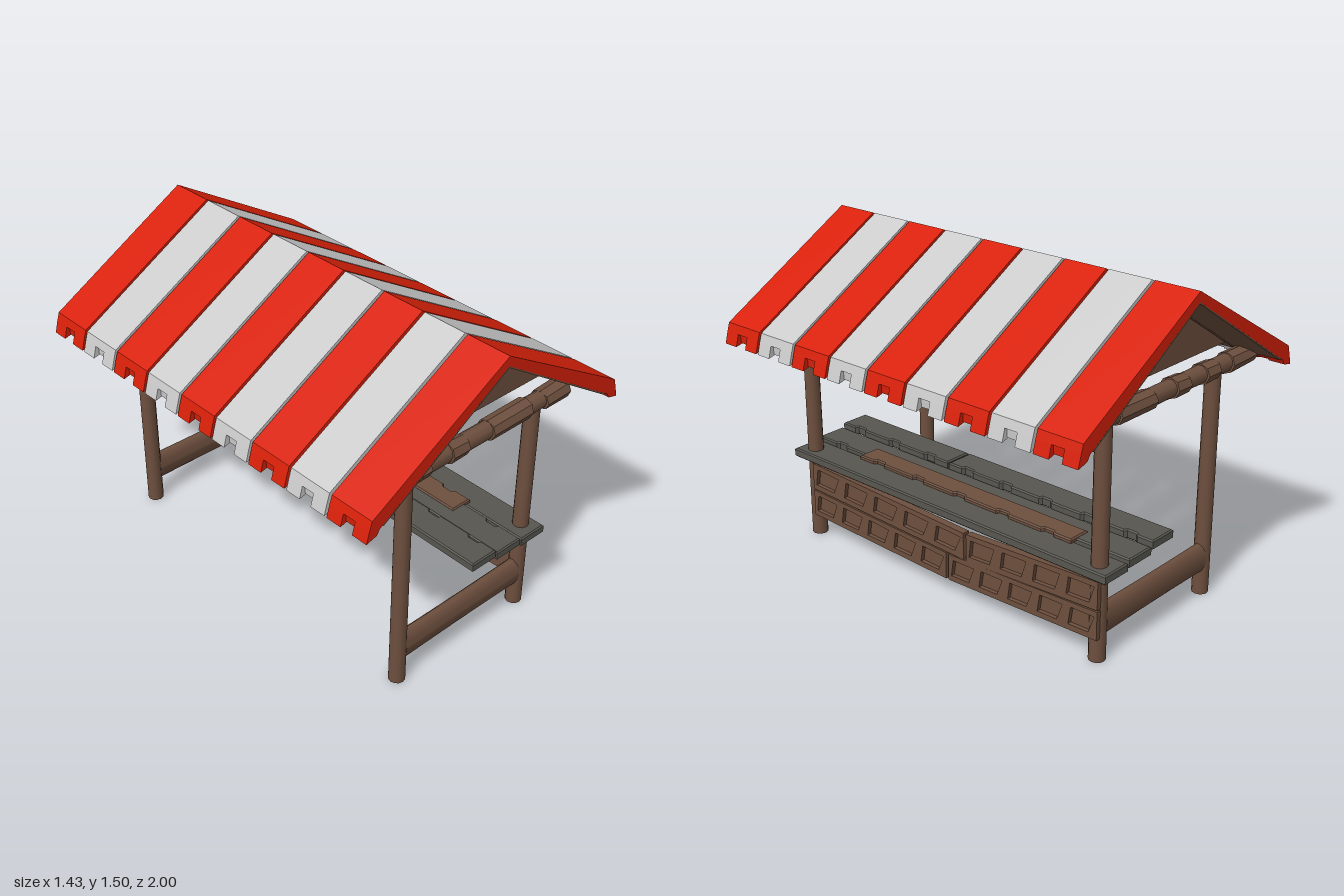
import * as THREE from 'three';

const mat = (name, color) => {
  const m = new THREE.MeshStandardMaterial({ color });
  m.name = name;
  return m;
};

export function createModel() {
  const wood = mat('brown wood', 0x6d4f3e);
  const greyWood = mat('grey wood', 0x575650);
  const red = mat('red cloth', 0xd82009);
  const white = mat('white cloth', 0xcbcbcb);

  const model = new THREE.Group();
  model.name = 'marketStall';

  let seed = 7;
  const rand = () => ((seed = (seed * 16807) % 2147483647) / 2147483647) - 0.5;

  const add = (name, geo, material, x = 0, y = 0, z = 0, parent = model) => {
    const mesh = new THREE.Mesh(geo, material);
    mesh.name = name;
    mesh.position.set(x, y, z);
    parent.add(mesh);
    return mesh;
  };
  const toShape = (pts) => new THREE.Shape(pts.map(([x, y]) => new THREE.Vector2(x, y)));
  const extrude = (shape, depth, bevel = 0) => new THREE.ExtrudeGeometry(shape, {
    depth, bevelEnabled: bevel > 0, bevelSize: bevel, bevelThickness: bevel, bevelOffset: -bevel, bevelSegments: 1,
  });

  // Four round posts
  const postGeo = new THREE.CylinderGeometry(0.035, 0.037, 1.03, 12);
  for (const x of [-0.367, 0.367]) for (const z of [-0.842, 0.842]) add('post', postGeo, wood, x, 0.515, z);

  // Low crossbeam at each end, slightly waisted
  const crossGeo = new THREE.CylinderGeometry(0.073, 0.073, 0.7, 14, 6);
  crossGeo.rotateZ(Math.PI / 2);
  const cp = crossGeo.attributes.position;
  for (let i = 0; i < cp.count; i++) {
    const waist = 0.96 + 0.04 * Math.pow(cp.getX(i) / 0.35, 2);
    cp.setXYZ(i, cp.getX(i), cp.getY(i) * waist, cp.getZ(i) * 0.48 * waist);
  }
  crossGeo.computeVertexNormals();
  for (const z of [-0.842, 0.842]) add('lowCrossbeam', crossGeo, wood, 0, 0.175, z);

  // Rough-hewn beam under each gable: a round core wrapped by uneven blocks
  const coreGeo = new THREE.CylinderGeometry(0.041, 0.038, 1.16, 10).rotateZ(Math.PI / 2);
  for (const z of [-0.842, 0.842]) {
    const beam = new THREE.Group();
    beam.name = 'gableBeam';
    model.add(beam);
    add('beamCore', coreGeo, wood, -0.03, 1.05, z, beam);
    const blocks = [[-0.54, 0.18], [-0.31, 0.09], [-0.1, 0.09], [0.2, 0.23], [0.48, 0.14]];
    for (const [x, w] of blocks) {
      const geo = new THREE.CylinderGeometry(0.044, 0.044, w, 8).rotateZ(Math.PI / 2).toNonIndexed();
      const p = geo.attributes.position;
      // Skew and taper the ends so they look hand-cut
      const skew = rand() * 0.35, taper = rand() * 0.15;
      for (let i = 0; i < p.count; i++) {
        const px = p.getX(i), py = p.getY(i);
        p.setXYZ(i, px + py * skew, py * (1 + taper * Math.sign(px)), p.getZ(i) * 1.15);
      }
      geo.computeVertexNormals();
      add('beamBlock', geo, wood, x, 1.05, z, beam).rotation.z = rand() * 0.08;
    }
  }

  // Gable walls set back behind the beams
  const gableGeo = extrude(toShape([[-0.56, 1.095], [0.56, 1.095], [0, 1.455]]), 0.02);
  for (const z of [-0.77, 0.75]) add('gableWall', gableGeo, wood, 0, 0, z);

  // Carved front boards between the posts on the left side: frame with recesses and a backing
  // Each row: z, bottom, top at both ends, then the number of recesses
  const boards = [
    [0.82, 0.245, 0.375, -0.145, 0.215, 0.342, 5],
    [-0.16, 0.213, 0.342, -0.87, 0.25, 0.378, 4],
    [0.82, 0.11, 0.238, -0.04, 0.085, 0.212, 5],
    [-0.055, 0.085, 0.21, -0.87, 0.112, 0.243, 5],
  ];
  for (const [z0, b0, t0, z1, b1, t1, count] of boards) {
    const at = (s, h) => {
      const b = b0 + (b1 - b0) * s, t = t0 + (t1 - t0) * s;
      return [-(z0 + (z1 - z0) * s), b + (t - b) * h];
    };
    const outline = [at(0, 0), at(1, 0), at(1, 1), at(0, 1)];
    const frame = toShape(outline);
    for (let i = 0; i < count; i++) {
      const a = (i + 0.1) / count, b = (i + 0.86) / count;
      const hole = [at(a, 0.2), at(a + 0.015, 0.82), at(b + 0.01, 0.8), at(b - 0.025, 0.2)];
      frame.holes.push(new THREE.Path(hole.map(([x, y]) => new THREE.Vector2(x, y))));
    }
    add('boardFrame', extrude(frame, 0.02).rotateY(Math.PI / 2), wood, 0.391);
    add('boardBacking', extrude(toShape(outline), 0.016).rotateY(Math.PI / 2), wood, 0.376);
  }

  // Counter planks with chipped edges
  const plank = (name, material, x0, x1, y, h, z0, z1, chips) => {
    const w = (x1 - x0) / 2, l = (z1 - z0) / 2;
    const pts = [[-w, -l], [w, -l]];
    for (let i = 0; i < chips; i++) {
      const c = -l + ((i + 0.5) / chips) * 2 * l;
      pts.push([w, c - 0.035], [w - 0.015, c - 0.025], [w - 0.015, c + 0.02], [w, c + 0.035]);
    }
    pts.push([w, l], [-w, l]);
    const geo = extrude(toShape(pts), h - 0.012, 0.006).rotateX(-Math.PI / 2);
    add(name, geo, material, (x0 + x1) / 2, y + 0.006, (z0 + z1) / 2);
  };
  plank('innerCounterPlank', greyWood, -0.02, 0.12, 0.42, 0.043, -0.92, 0.216, 5);
  plank('innerCounterPlank', greyWood, -0.02, 0.12, 0.42, 0.043, 0.226, 0.92, 3);
  plank('middleCounterPlank', greyWood, 0.13, 0.275, 0.4, 0.042, -0.92, 0.92, 6);
  plank('brownCounterPlank', wood, 0.2, 0.31, 0.425, 0.024, -0.65, 0.6, 5);
  plank('outerCounterPlank', greyWood, 0.285, 0.43, 0.388, 0.042, -0.92, 0.92, 0);

  // Striped gabled roof: nine separate strips, each with a wooden lining and notched eaves
  const half = [[0.69, 1.1], [0.702, 1.062], [0.65, 1.046]];
  const mirror = (pts) => pts.map(([x, y]) => [-x, y]).reverse();
  const stripShape = toShape([[0, 1.5], ...half, [0, 1.456], ...mirror(half)]);
  const liningHalf = [[0.64, 1.052], [0.63, 1.05]];
  const liningShape = toShape([[0, 1.456], ...liningHalf, [0, 1.449], ...mirror(liningHalf)]);
  const tab = [[0.69, 1.075], [0.702, 1.062], [0.717, 1.008], [0.665, 1.022], [0.65, 1.046]];
  const notch = [[0.69, 1.07], [0.688, 1.02], [0.668, 1.026], [0.65, 1.046]];
  const stripGeo = extrude(stripShape, 0.211);
  const liningGeo = extrude(liningShape, 0.211);
  const tabGeos = [tab, mirror(tab)].map((t) => extrude(toShape(t), 0.075));
  const notchGeos = [notch, mirror(notch)].map((t) => extrude(toShape(t), 0.061));
  for (let i = 0; i < 9; i++) {
    const cloth = i % 2 ? white : red;
    const z = -1 + i * (1.789 / 8);
    add('roofStrip', stripGeo, cloth, 0, 0, z);
    add('roofLining', liningGeo, wood, 0, 0, z);
    for (const geo of tabGeos) for (const dz of [0, 0.136]) add('eaveTab', geo, cloth, 0, 0, z + dz);
    for (const geo of notchGeos) add('eaveNotch', geo, cloth, 0, 0, z + 0.075);
  }

  // Rails along the eaves joining the strips
  for (const s of [-1, 1]) add('eaveRail', new THREE.BoxGeometry(0.03, 0.025, 1.9), wood, s * 0.66, 1.075, 0);

  return model;
}
